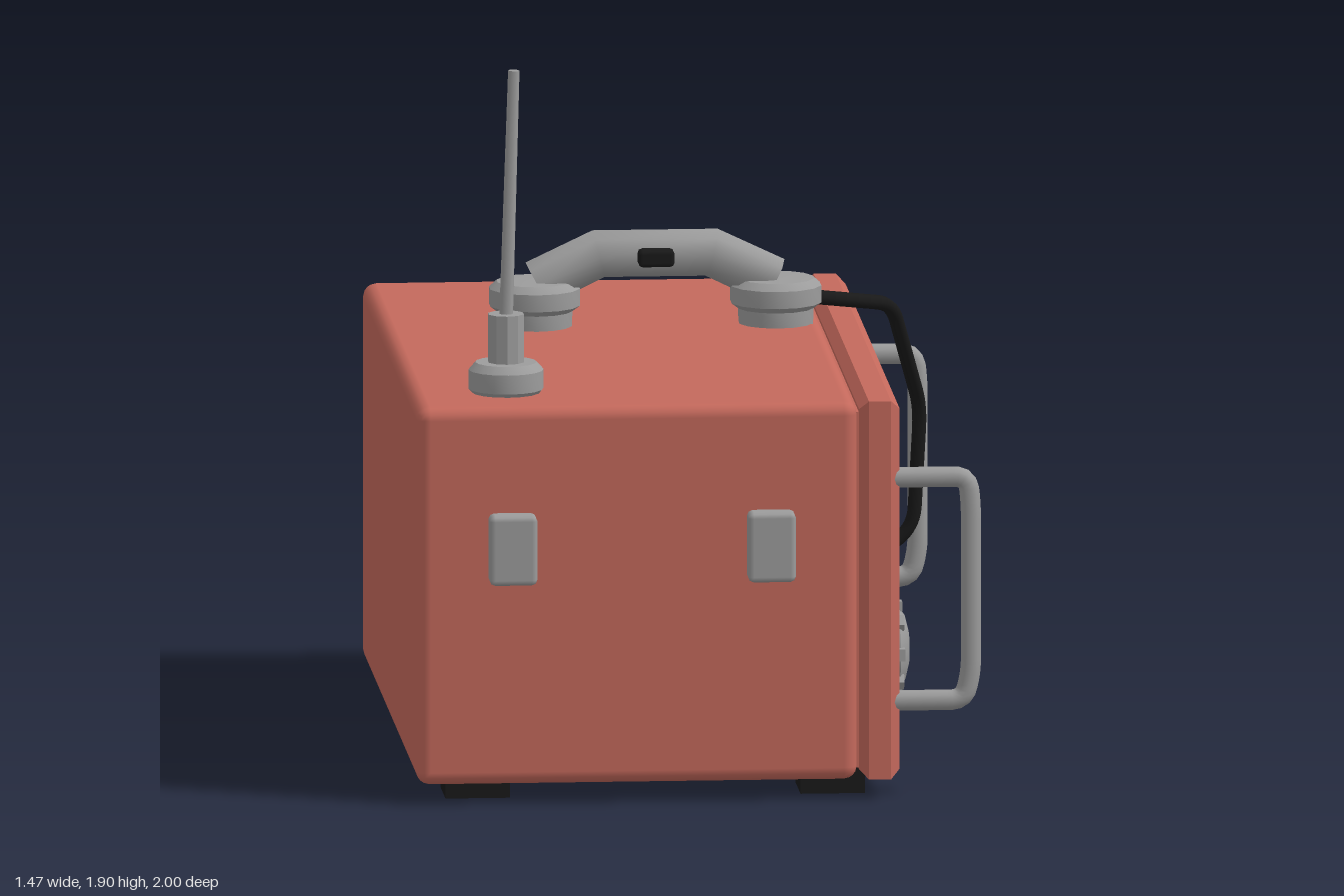
import * as THREE from 'three';
import { toCreasedNormals } from 'three/addons/utils/BufferGeometryUtils.js';
import { RoundedBoxGeometry } from 'three/addons/geometries/RoundedBoxGeometry.js';

const mat = (name, color) => Object.assign(new THREE.MeshStandardMaterial({ color }), { name });
const V = (x, y, z) => new THREE.Vector3(x, y, z);

export function createModel() {
  const red = mat('red paint', 0xc4695c);
  const grey = mat('grey metal', 0x9c9c9c);
  const dark = mat('panel black', 0x222222);
  const rubber = mat('black rubber', 0x191919);
  const model = new THREE.Group();
  model.name = 'fieldRadio';

  const add = (name, geo, material, x = 0, y = 0, z = 0, parent = model) => {
    const m = new THREE.Mesh(geo, material);
    m.name = name;
    m.position.set(x, y, z);
    parent.add(m);
    return m;
  };
  // Turned part from [radius, height] pairs
  const turned = (profile, segs = 16) => toCreasedNormals(
    new THREE.LatheGeometry(profile.map(p => new THREE.Vector2(p[0], p[1])), segs), 0.6);
  // Turned part whose axis points out of the panel (+x)
  const PANEL = 0.475;
  const onPanel = (name, profile, y, z, segs, material = grey) => {
    const m = add(name, turned(profile, segs), material, PANEL, y, z);
    m.rotation.z = -Math.PI / 2;
    return m;
  };
  // Straight runs joined by rounded corners
  const bentPath = (pts, r) => {
    const path = new THREE.CurvePath();
    let from = pts[0];
    for (let i = 1; i < pts.length - 1; i++) {
      const a = pts[i].clone().add(pts[i - 1].clone().sub(pts[i]).setLength(r));
      const b = pts[i].clone().add(pts[i + 1].clone().sub(pts[i]).setLength(r));
      path.add(new THREE.LineCurve3(from, a));
      path.add(new THREE.QuadraticBezierCurve3(a, pts[i], b));
      from = b;
    }
    path.add(new THREE.LineCurve3(from, pts[pts.length - 1]));
    return path;
  };
  const rect = (C, w, h) => {
    const s = new C();
    s.moveTo(-w, -h); s.lineTo(w, -h); s.lineTo(w, h); s.lineTo(-w, h); s.closePath();
    return s;
  };
  // Rectangular ring facing +x, with chamfered edges
  const ring = (w, h, iw, ih, depth, bevel) => {
    const s = rect(THREE.Shape, w - bevel, h - bevel);
    s.holes.push(rect(THREE.Path, iw + bevel, ih + bevel));
    return new THREE.ExtrudeGeometry(s, {
      depth: depth - 2 * bevel, bevelEnabled: true, bevelSize: bevel, bevelThickness: bevel, bevelSegments: 1,
    }).translate(0, 0, bevel).rotateY(Math.PI / 2);
  };

  // Cabinet, front frame and recessed panel
  add('cabinet', new RoundedBoxGeometry(1.15, 1.0, 1.89, 2, 0.035), red, -0.165, 0.55, 0);
  add('frameSeam', new THREE.BoxGeometry(0.04, 0.94, 1.83), red, 0.41, 0.55, 0);
  add('frontFrame', ring(0.947, 0.5, 0.848, 0.403, 0.106, 0.024), red, 0.415, 0.553, 0);
  add('panel', new THREE.BoxGeometry(0.05, 0.83, 1.72), dark, PANEL - 0.025, 0.553, 0);

  // Feet
  for (const x of [-0.575, 0.352]) for (const z of [-0.762, 0.762])
    add('foot', new THREE.BoxGeometry(0.168, 0.07, 0.168), rubber, x, 0.035, z);

  // Side latches
  for (const x of [-0.492, 0.183]) for (const s of [-1, 1])
    add('latch', new RoundedBoxGeometry(0.125, 0.185, 0.07, 1, 0.015), grey, x, 0.678, s * 0.965);

  // Guard handles
  for (const z of [-0.91, 0.91]) {
    const path = bentPath([V(0.49, 0.845, z), V(0.7, 0.845, z), V(0.708, 0.77, z), V(0.708, 0.33, z),
      V(0.69, 0.255, z), V(0.49, 0.255, z)], 0.035);
    add('guardHandle', new THREE.TubeGeometry(path, 64, 0.027, 10), grey);
  }

  // Panel screws
  for (const y of [0.195, 0.915]) for (const z of [-0.795, 0.795])
    onPanel('screw', [[0.025, 0], [0.025, 0.01], [0.016, 0.016], [0, 0.016]], y, z, 8);

  // Speaker ring
  onPanel('speakerRing', [[0.216, 0], [0.216, 0.022], [0.206, 0.032], [0.196, 0.028], [0.19, 0]], 0.72, 0.487, 24);

  // Tuning dial with ribs
  onPanel('tuningDial', [[0.142, 0], [0.142, 0.03], [0.125, 0.04], [0.11, 0.042], [0.108, 0.075],
    [0.085, 0.092], [0.045, 0.102], [0, 0.105]], 0.32, 0.487, 16);
  for (let i = 0; i < 8; i++) {
    const a = i * Math.PI / 4;
    const rib = add('dialRib', new THREE.BoxGeometry(0.05, 0.026, 0.032), grey,
      PANEL + 0.06, 0.32 + 0.11 * Math.cos(a), 0.487 + 0.11 * Math.sin(a));
    rib.rotation.x = a;
  }

  // Domed knobs
  for (const z of [0, -0.25, -0.505])
    onPanel('knob', [[0.085, 0], [0.085, 0.025], [0.076, 0.034], [0.066, 0.035], [0.064, 0.05],
      [0.05, 0.066], [0.026, 0.075], [0, 0.078]], 0.32, z, 14);

  // Display
  add('displayBezel', ring(0.193, 0.14, 0.165, 0.112, 0.04, 0.01), grey, PANEL - 0.005, 0.743, -0.338);
  add('displayScreen', new THREE.BoxGeometry(0.02, 0.23, 0.335), grey, PANEL + 0.009, 0.743, -0.338);

  // Toggle switches, alternately down and up
  [-0.125, -0.272, -0.42, -0.568].forEach((z, i) => {
    onPanel('switchNut', [[0.028, 0], [0.028, 0.02], [0.016, 0.022], [0.016, 0.035], [0, 0.035]], 0.543, z, 6);
    const dir = i % 2 ? 1 : -1;
    const lever = add('switchLever', new THREE.CylinderGeometry(0.012, 0.007, 0.085, 8).translate(0, 0.0425, 0),
      grey, PANEL + 0.025, 0.543, z);
    lever.rotation.z = -Math.PI / 2 + dir * 0.48;
  });

  // Sockets
  for (const y of [0.3, 0.458]) {
    onPanel('socket', [[0.058, 0], [0.058, 0.03], [0.05, 0.036], [0.042, 0.038], [0.042, 0.078],
      [0.026, 0.078], [0.026, 0.06], [0, 0.06]], y, -0.75, 12);
    onPanel('socketHole', [[0.025, 0.061], [0.025, 0.064], [0, 0.064]], y, -0.75, 12, rubber);
  }

  // Aerial
  const AX = -0.491, AZ = 0.715;
  add('aerialBase', turned([[0.08, 1.04], [0.098, 1.06], [0.098, 1.11], [0.08, 1.13], [0, 1.13]]), grey, AX, 0, AZ);
  add('aerialPost', turned([[0.048, 1.12], [0.048, 1.257], [0, 1.257]], 10), grey, AX, 0, AZ);
  const rod = add('aerialRod', new THREE.CylinderGeometry(0.015, 0.018, 0.66, 8).translate(0, 0.33, 0), grey, AX, 1.24, AZ);
  rod.rotation.z = -0.031;

  // Handset on the roof
  const handset = new THREE.Group();
  handset.name = 'handset';
  handset.position.z = -0.26;
  model.add(handset);
  for (const x of [-0.342, 0.288])
    add('handsetCup', turned([[0.098, 1.045], [0.1, 1.09], [0.12, 1.105], [0.12, 1.15], [0.1, 1.168],
      [0.05, 1.172], [0, 1.172]], 14), grey, x, 0, 0, handset);
  // Grip swept as an eight-sided section through mitred stations
  const stations = [[-0.335, 1.16, -0.5], [-0.175, 1.237, -0.25], [0.12, 1.237, 0.25], [0.28, 1.16, 0.5]];
  const pos = [], idx = [], N = 8;
  for (const [x, y, tilt] of stations) for (let j = 0; j < N; j++) {
    const a = j * 2 * Math.PI / N, u = 0.064 * Math.cos(a);
    pos.push(x + u * Math.sin(tilt), y + u * Math.cos(tilt), 0.064 * Math.sin(a));
  }
  for (let i = 0; i < 3; i++) for (let j = 0; j < N; j++) {
    const a = i * N + j, b = i * N + (j + 1) % N;
    idx.push(a, b, a + N, b, b + N, a + N);
  }
  for (let j = 1; j < N - 1; j++) idx.push(0, j + 1, j, 3 * N, 3 * N + j, 3 * N + j + 1);
  const grip = new THREE.BufferGeometry();
  grip.setAttribute('position', new THREE.Float32BufferAttribute(pos, 3));
  grip.setIndex(idx);
  add('handsetGrip', toCreasedNormals(grip, 0.9), grey, 0, 0, 0, handset);
  add('talkButton', new RoundedBoxGeometry(0.095, 0.046, 0.05, 1, 0.012), rubber, -0.03, 1.237, 0.07, handset);

  // Handset cable
  const cable = bentPath([V(0.37, 1.118, -0.255), V(0.61, 1.05, -0.51), V(0.7, 0.74, -0.715),
    V(0.685, 0.41, -0.75), V(0.52, 0.3, -0.755)], 0.06);
  add('cable', new THREE.TubeGeometry(cable, 80, 0.019, 8), rubber);
  return model;
}
